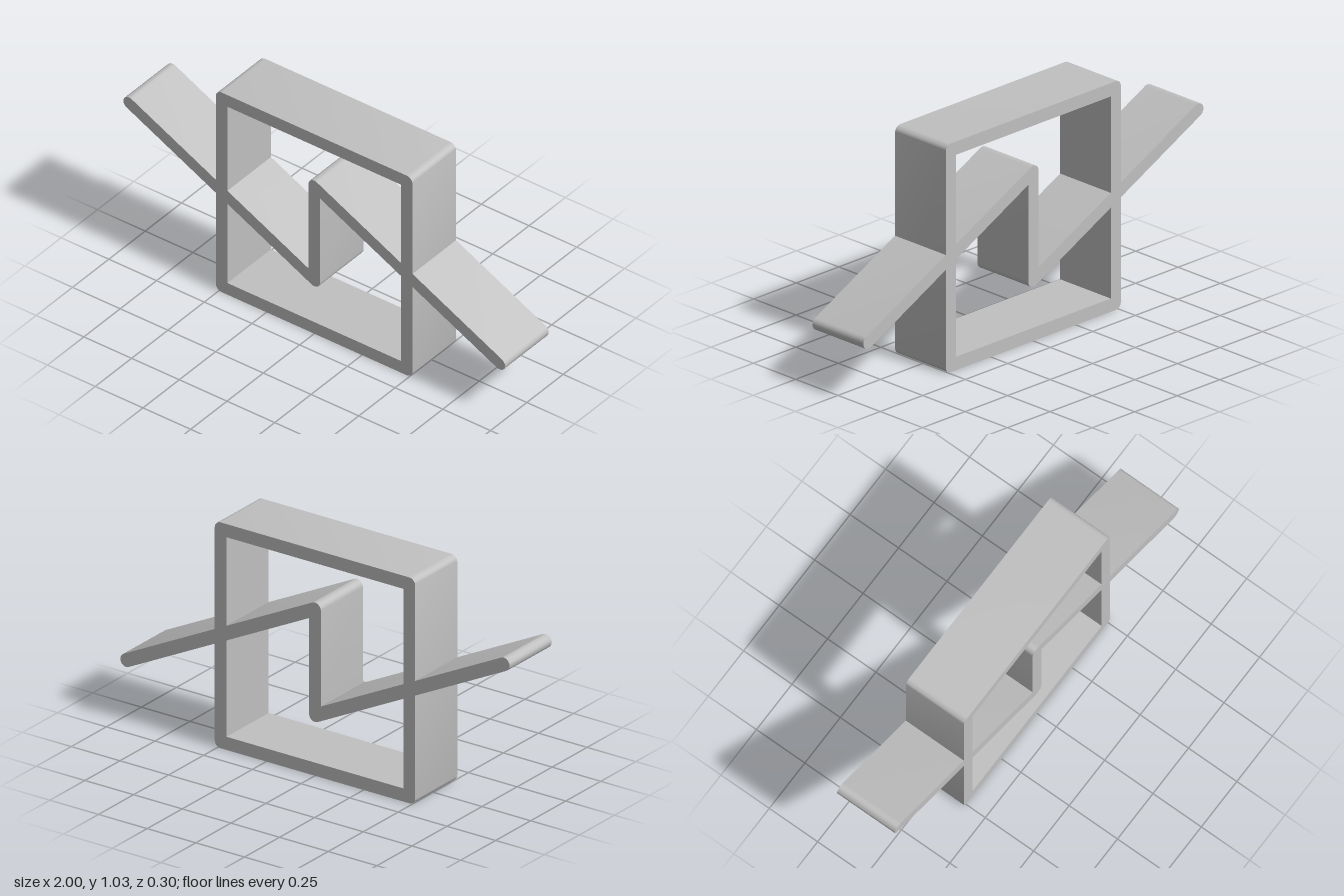
import * as THREE from 'three';
import { toCreasedNormals } from 'three/addons/utils/BufferGeometryUtils.js';

const R = 0.03; // half the wall thickness
const DEPTH = 0.3;

// Offsets a closed loop outward: round on left turns, mitred on right turns.
function outline(points) {
  const n = points.length;
  const out = [];
  points.forEach(([x, y], i) => {
    const [px, py] = points[(i + n - 1) % n];
    const [qx, qy] = points[(i + 1) % n];
    const a = Math.atan2(y - py, x - px);
    let turn = Math.atan2(qy - y, qx - x) - a;
    while (turn > Math.PI + 1e-6) turn -= 2 * Math.PI;
    while (turn < -Math.PI + 1e-6) turn += 2 * Math.PI;
    const add = (angle, r) => out.push(
      new THREE.Vector2(x + r * Math.cos(angle), y + r * Math.sin(angle)));
    const start = a - Math.PI / 2;
    if (turn < 0) {
      add(start + turn / 2, R / Math.cos(turn / 2));
    } else {
      const steps = turn > 3 ? 12 : 8;
      for (let k = 0; k <= steps; k++) add(start + turn * k / steps, R);
    }
  });
  return new THREE.Shape(out);
}

function extruded(name, shape, material) {
  const geometry = new THREE.ExtrudeGeometry(shape, { depth: DEPTH, bevelEnabled: false });
  geometry.translate(0, 0, -DEPTH / 2);
  const mesh = new THREE.Mesh(toCreasedNormals(geometry, 0.5), material);
  mesh.name = name;
  return mesh;
}

export function createModel() {
  const group = new THREE.Group();
  group.name = 'squareAndZigzagShelf';
  const grey = new THREE.MeshStandardMaterial({ color: 0xc0c0c0 });
  grey.name = 'grey';

  // Square frame with rounded outer corners and a sharp opening
  const h = 0.485, low = 0.03, high = 1.0;
  const frame = outline([[-h, low], [h, low], [h, high], [-h, high]]);
  const i = h - R;
  frame.holes.push(new THREE.Path([
    [-i, low + R], [-i, high - R], [i, high - R], [i, low + R],
  ].map(([x, y]) => new THREE.Vector2(x, y))));
  group.add(extruded('squareFrame', frame, grey));

  // Zigzag band through the frame, traced there and back
  const path = [[-0.97, 0.76], [0, 0.275], [0, 0.76], [0.97, 0.275]];
  const loop = [...path, path[2], path[1]];
  group.add(extruded('zigzagBand', outline(loop), grey));

  return group;
}
